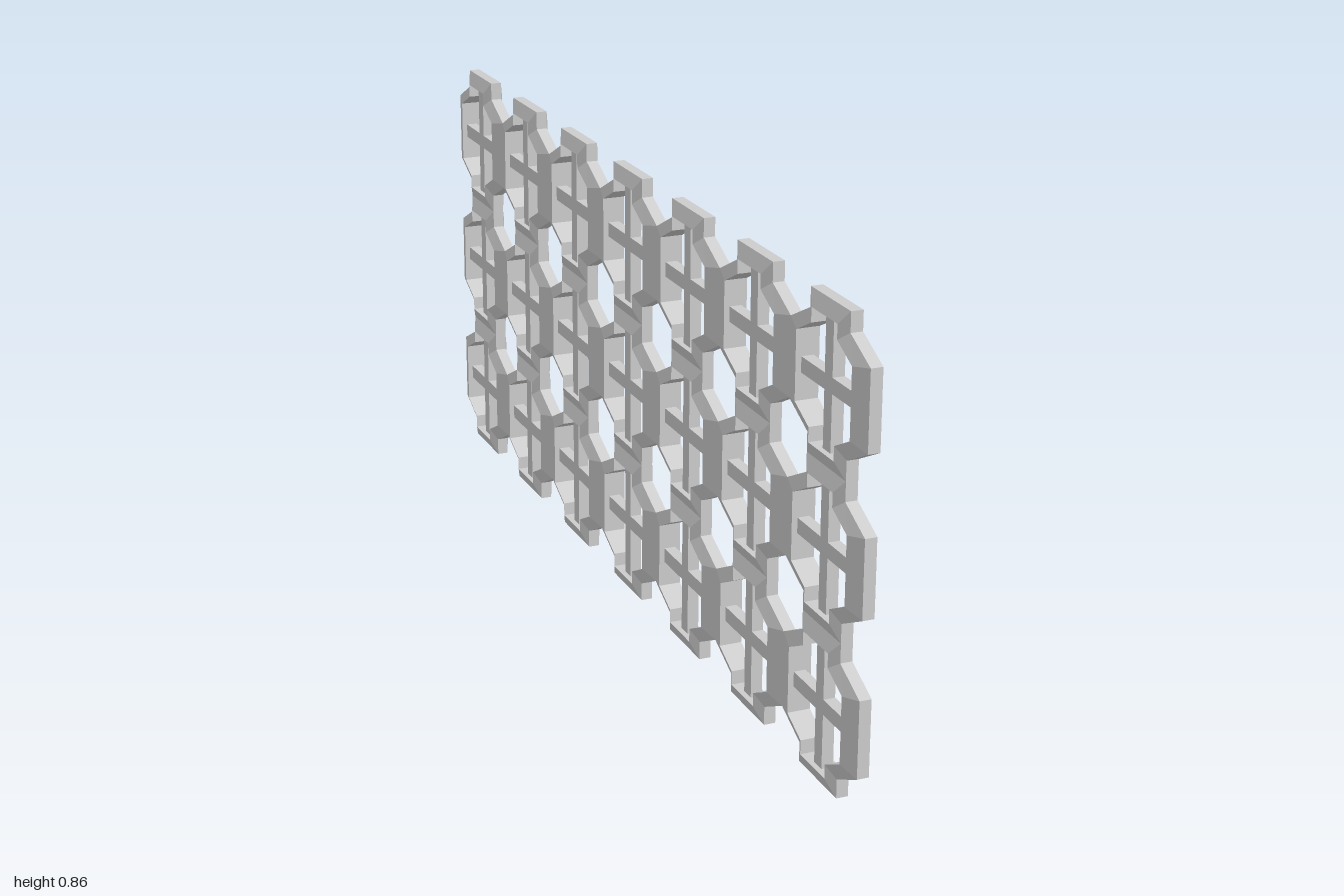
import * as THREE from 'three';

const COLS = 7, ROWS = 3;
const PITCH = 2 / COLS;
const HALF = PITCH / 2;
const RIM = 0.011;    // half thickness at the outer edge
const RIDGE = 0.0215; // half thickness at the window edge
const BAR = 0.028;    // width of the cross bars

// Mirrors the corners of one quadrant into a full loop of [z, y] points
function mirrorLoop(quarter) {
  const back = [...quarter].reverse();
  return [
    ...quarter,
    ...back.map(([z, y]) => [-z, y]),
    ...quarter.map(([z, y]) => [-z, -y]),
    ...back.map(([z, y]) => [z, -y]),
  ];
}

// Frame with a bevelled section, swept around the stepped octagonal outline
function frameGeometry() {
  const outer = mirrorLoop([[HALF, HALF / 2], [HALF / 2, HALF * 0.75], [HALF / 2, HALF]]);
  const inner = mirrorLoop([[0.1, 0.0625], [0.0465, 0.0895], [0.0465, 0.116]]);
  const section = [[outer, RIM], [inner, RIDGE], [inner, -RIDGE], [outer, -RIM]];
  const positions = [];
  const n = outer.length;
  const corner = (k, i) => {
    const [loop, x] = section[k % 4];
    const [z, y] = loop[i % n];
    return [x, y, z];
  };
  for (let k = 0; k < 4; k++) {
    for (let i = 0; i < n; i++) {
      const a = corner(k, i), b = corner(k + 1, i);
      const c = corner(k + 1, i + 1), d = corner(k, i + 1);
      positions.push(...a, ...b, ...c, ...a, ...c, ...d);
    }
  }
  const geometry = new THREE.BufferGeometry();
  geometry.setAttribute('position', new THREE.Float32BufferAttribute(positions, 3));
  geometry.computeVertexNormals();
  return geometry;
}

export function createModel() {
  const model = new THREE.Group();
  model.name = 'latticePanel';
  const material = new THREE.MeshStandardMaterial({ color: 0xcccccc, flatShading: true });

  // Parts shared by every tile
  const parts = [
    ['frame', frameGeometry()],
    ['horizontalBar', new THREE.BoxGeometry(RIM * 2, BAR, 0.204)],
    ['verticalBar', new THREE.BoxGeometry(RIM * 2, 0.236, BAR)],
  ];

  // Grid of tiles standing on the ground
  for (let row = 0; row < ROWS; row++) {
    for (let col = 0; col < COLS; col++) {
      const tile = new THREE.Group();
      tile.name = `tile_${row}_${col}`;
      for (const [name, geometry] of parts) {
        const mesh = new THREE.Mesh(geometry, material);
        mesh.name = name;
        tile.add(mesh);
      }
      tile.position.set(0, (row + 0.5) * PITCH, (col - (COLS - 1) / 2) * PITCH);
      model.add(tile);
    }
  }
  return model;
}
